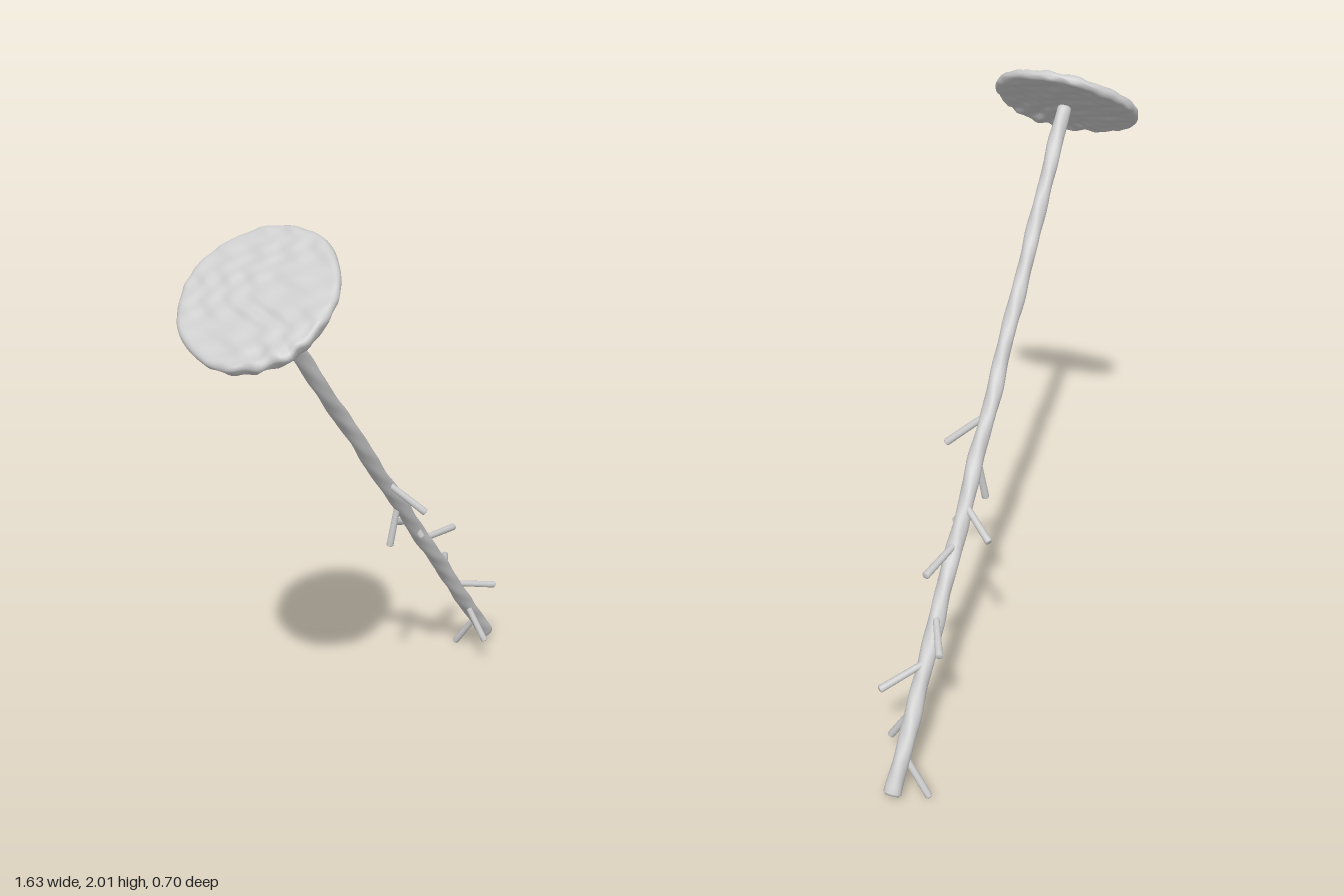
import * as THREE from 'three';
import { mergeVertices } from 'three/addons/utils/BufferGeometryUtils.js';

const material = new THREE.MeshStandardMaterial({ color: 0xcccccc });
const UP = new THREE.Vector3(0, 1, 0);
const FOOT = new THREE.Vector3(0.79, 0.045, -0.27);
const TOP = new THREE.Vector3(-0.605, 1.838, 0.103);
const CAP_CENTRE = new THREE.Vector3(-0.622, 1.848, 0.108);

// Moves every vertex by a rule, then welds and smooths the surface.
function sculpt(geometry, rule) {
  geometry.deleteAttribute('uv');
  geometry.deleteAttribute('normal');
  const welded = mergeVertices(geometry, 1e-5);
  const position = welded.attributes.position;
  const v = new THREE.Vector3();
  for (let i = 0; i < position.count; i++) {
    rule(v.fromBufferAttribute(position, i));
    position.setXYZ(i, v.x, v.y, v.z);
  }
  welded.computeVertexNormals();
  return welded;
}

// A round-ended rod of revolution running from a to b.
function rod(name, a, b, rStart, rEnd, sides, rings, rule = () => {}) {
  const length = a.distanceTo(b);
  const profile = [new THREE.Vector2(0, 0), new THREE.Vector2(rStart * 0.8, 0)];
  for (let i = 0; i <= rings; i++) {
    const t = i / rings;
    const y = THREE.MathUtils.lerp(rStart * 0.25, length - rEnd * 0.25, t);
    profile.push(new THREE.Vector2(THREE.MathUtils.lerp(rStart, rEnd, t), y));
  }
  profile.push(new THREE.Vector2(rEnd * 0.8, length), new THREE.Vector2(0, length));
  const mesh = new THREE.Mesh(sculpt(new THREE.LatheGeometry(profile, sides), rule), material);
  mesh.name = name;
  mesh.position.copy(a);
  mesh.quaternion.setFromUnitVectors(UP, b.clone().sub(a).normalize());
  return mesh;
}

// Long stem with a slightly uneven bark.
function createStem() {
  return rod('stem', FOOT, TOP, 0.028, 0.024, 20, 110, (v) => {
    const angle = Math.atan2(v.z, v.x);
    const bump = 1 + 0.05 * Math.sin(2 * angle + v.y * 23) + 0.04 * Math.sin(3 * angle - v.y * 41);
    v.x = v.x * bump + 0.002 * Math.sin(v.y * 13);
    v.z = v.z * bump + 0.002 * Math.cos(v.y * 17);
  });
}

// Wrinkle height over the cap, with folds running across its slope.
function wrinkle(x, z) {
  const warp = 0.9 * Math.sin(x * 21 + 1) + 0.8 * Math.sin(z * 17 - x * 9);
  return 0.5 * Math.sin(x * 62 + z * 38 + warp * 1.6)
    + 0.35 * Math.sin(z * 88 - x * 34 + warp * 2)
    + 0.3 * Math.sin(x * 120 + z * 15 + warp);
}

// Thin, wrinkled round cap, ragged and thicker along its lower front rim.
function createCap() {
  const R = 0.243, half = 0.016, rings = 36;
  const profile = [];
  for (let i = 0; i <= rings; i++) profile.push(new THREE.Vector2((R - half) * i / rings, -half));
  for (let i = 1; i < 6; i++) {
    const a = -Math.PI / 2 + Math.PI * i / 6;
    profile.push(new THREE.Vector2(R - half + half * Math.cos(a), half * Math.sin(a)));
  }
  for (let i = rings; i >= 0; i--) profile.push(new THREE.Vector2((R - half) * i / rings, half));

  const geometry = sculpt(new THREE.LatheGeometry(profile, 128), (v) => {
    const r = Math.hypot(v.x, v.z) / R;
    const angle = Math.atan2(v.z, v.x);
    const facing = r > 0 ? Math.max(0, (-0.62 * v.x + 0.78 * v.z) / (r * R)) : 0;
    const ragged = Math.pow(facing, 5) * r * r;
    const outline = 1 + r * r * (0.008 * Math.sin(3 * angle + 1) + 0.006 * Math.sin(7 * angle))
      + ragged * 0.022 * Math.sin(19 * angle);
    const side = v.y < 0 ? -1 : 1;
    const x = v.x, z = v.z;
    v.y += side * (0.0035 + 0.003 * ragged) * wrinkle(x, z + side * 0.11);
    if (side < 0) v.y -= ragged * (0.012 + 0.007 * Math.sin(x * 70 + z * 60));
    v.x *= outline;
    v.z *= outline;
  });
  const cap = new THREE.Mesh(geometry, material);
  cap.name = 'cap';
  cap.position.copy(CAP_CENTRE);
  cap.quaternion.setFromUnitVectors(UP, TOP.clone().sub(FOOT).normalize());
  return cap;
}

// Short twigs: root on the stem, then tip.
const TWIGS = [
  [0.035, 1.02, -0.07, 0.12, 0.912, 0.038],
  [0.122, 0.91, -0.092, 0.096, 0.742, -0.108],
  [0.22, 0.79, -0.118, 0.267, 0.722, -0.253],
  [0.225, 0.775, -0.12, 0.245, 0.725, -0.098],
  [0.30, 0.685, -0.14, 0.47, 0.666, -0.156],
  [0.45, 0.505, -0.18, 0.564, 0.467, -0.285],
  [0.54, 0.385, -0.203, 0.69, 0.346, -0.142],
  [0.62, 0.262, -0.222, 0.642, 0.118, -0.14],
  [0.708, 0.15, -0.25, 0.695, 0.008, -0.342],
];

function createTwigs() {
  const twigs = new THREE.Group();
  twigs.name = 'twigs';
  for (const [ax, ay, az, bx, by, bz] of TWIGS) {
    const root = new THREE.Vector3(ax, ay, az);
    const tip = new THREE.Vector3(bx, by, bz);
    twigs.add(rod('twig', root, tip, 0.011, 0.0125, 12, 8));
  }
  return twigs;
}

export function createModel() {
  const model = new THREE.Group();
  model.name = 'cappedBranch';
  model.add(createStem(), createCap(), createTwigs());
  return model;
}
